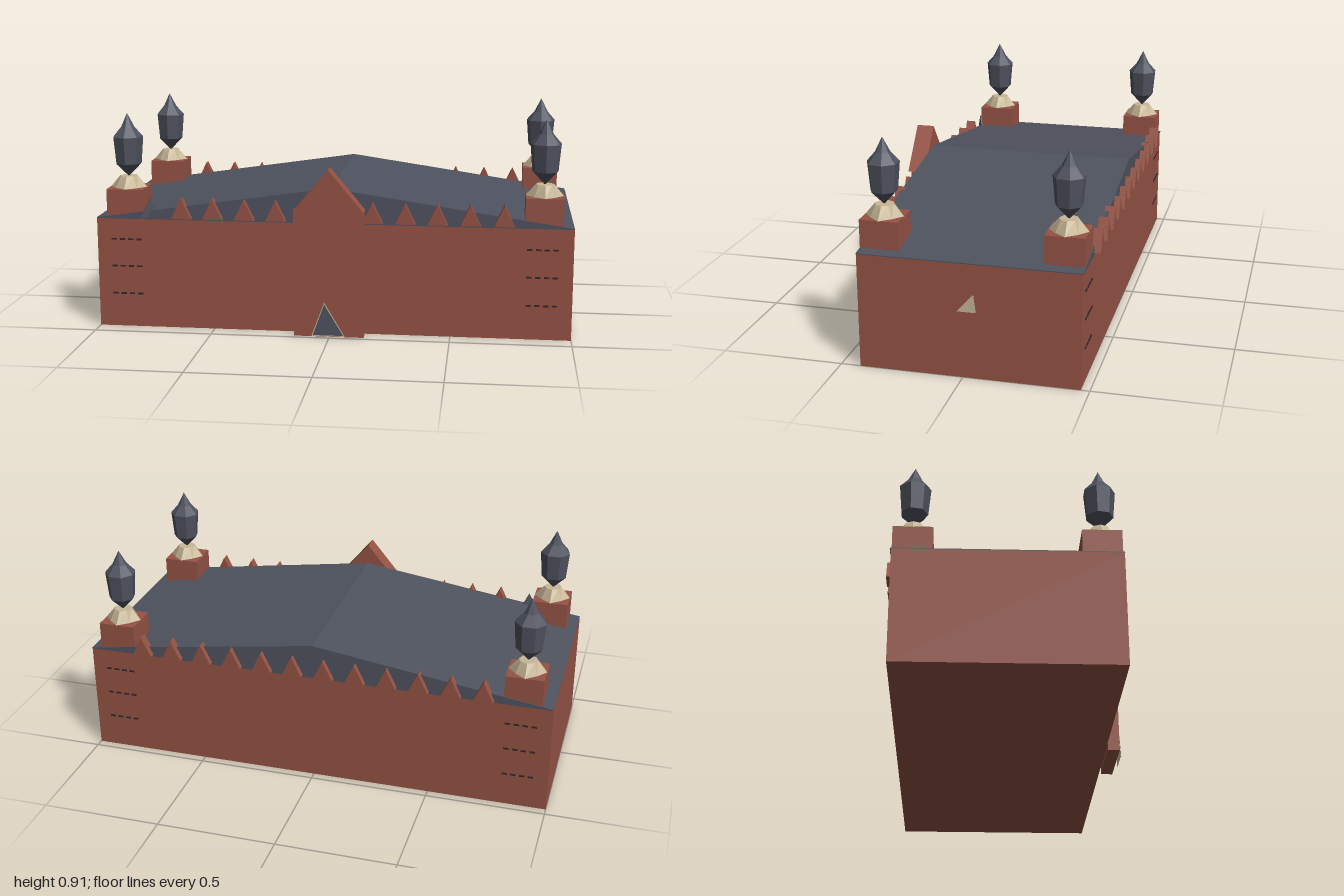
import * as THREE from 'three';

const material = (name, color, flatShading = false) => {
  const m = new THREE.MeshStandardMaterial({ color, flatShading, side: THREE.DoubleSide });
  m.name = name;
  return m;
};

export function createModel() {
  const model = new THREE.Group();
  model.name = 'gatehouse';
  const brick = material('brick red', 0x965345);
  const slate = material('slate grey', 0x4f535f, true);
  const stone = material('cream stone', 0xc8b898, true);
  const dark = material('dark slit', 0x33262a);

  const add = (name, geometry, mat, x = 0, y = 0, z = 0, parent = model) => {
    const mesh = new THREE.Mesh(geometry, mat);
    mesh.name = name;
    mesh.position.set(x, y, z);
    parent.add(mesh);
    return mesh;
  };
  // box and prism given by their limits
  const box = (name, mat, x0, x1, y0, y1, z0, z1) =>
    add(name, new THREE.BoxGeometry(x1 - x0, y1 - y0, z1 - z0), mat, (x0 + x1) / 2, (y0 + y1) / 2, (z0 + z1) / 2);
  const prism = (points, depth) =>
    new THREE.ExtrudeGeometry(new THREE.Shape(points.map(p => new THREE.Vector2(...p))), { depth, bevelEnabled: false });

  // main hall and low gabled roof
  box('hall', brick, -1, 1, 0, 0.47, -0.465, 0.42);
  add('roof', prism([[-1, 0.47], [1, 0.47], [1, 0.474], [0, 0.62], [-1, 0.474]], 0.89), slate, 0, 0, -0.469);

  // entrance tower with gable
  box('entranceTower', brick, -0.15, 0.143, 0, 0.535, 0.43, 0.48);
  add('entranceGable', prism([[-0.148, 0.535], [0.142, 0.535], [-0.003, 0.71]], 0.075), brick, 0, 0, 0.42);

  // triangular door with a cream edge
  add('doorFrame', prism([[-0.074, 0.006], [0.066, 0.006], [-0.02, 0.151]], 0.001), stone, 0, 0, 0.493);
  add('door', prism([[-0.068, 0.01], [0.06, 0.01], [-0.02, 0.143]], 0.001), slate, 0, 0, 0.495);

  // cream triangle on the side wall
  const sideWindow = add('sideWindow', prism([[-0.02, 0.275], [0.055, 0.275], [0.045, 0.35]], 0.003), stone, 0.999);
  sideWindow.rotation.y = Math.PI / 2;

  // pointed battlements along both long walls
  const merlon = prism([[-0.042, 0.48], [0.042, 0.48], [0, 0.567]], 0.042);
  for (const x of [-0.63, -0.497, -0.363, -0.23, 0.175, 0.31, 0.443, 0.577, 0.715])
    add('frontMerlon', merlon, brick, x, 0, 0.406);
  for (let i = 0; i < 12; i++) add('backMerlon', merlon, brick, -0.72 + i * 0.134, 0, -0.495);
  const loose = add('turnedMerlon', prism([[-0.045, 0.48], [0.045, 0.48], [0, 0.56]], 0.006), slate, -0.767, 0, 0.412);
  loose.rotation.y = 0.5;

  // star-shaped stone base: every second lower corner is drawn in
  const star = new THREE.CylinderGeometry(0.038, 0.08, 0.05, 8);
  const pos = star.attributes.position;
  for (let i = 0; i < pos.count; i++) {
    const x = pos.getX(i), z = pos.getZ(i);
    if (pos.getY(i) < 0 && Math.min(Math.abs(x), Math.abs(z)) > 0.01) {
      pos.setX(i, x * 0.78);
      pos.setZ(i, z * 0.78);
    }
  }
  const finial = new THREE.LatheGeometry(
    [[0, 0.64], [0.055, 0.696], [0.065, 0.81], [0.03, 0.85], [0, 0.91]].map(p => new THREE.Vector2(...p)), 7);

  // four corner turrets
  for (const x of [-0.877, 0.877]) for (const z of [-0.387, 0.342]) {
    const turret = new THREE.Group();
    turret.name = 'cornerTurret';
    turret.position.set(x, 0, z);
    model.add(turret);
    add('turretBlock', new THREE.BoxGeometry(0.156, 0.125, 0.156), brick, 0, 0.5325, 0, turret);
    add('turretBase', star, stone, 0, 0.618, 0, turret);
    add('turretFinial', finial, slate, 0, 0, 0, turret);
  }

  // rows of narrow slits near the ends of both long walls
  const slit = new THREE.BoxGeometry(0.022, 0.007, 0.008);
  for (const side of [-1, 1]) for (const y of [0.145, 0.265, 0.382])
    for (const z of [-0.465, 0.42]) for (let i = 0; i < 4; i++)
      add('slit', slit, dark, side * (0.82 + i * 0.036), y, z);

  return model;
}
